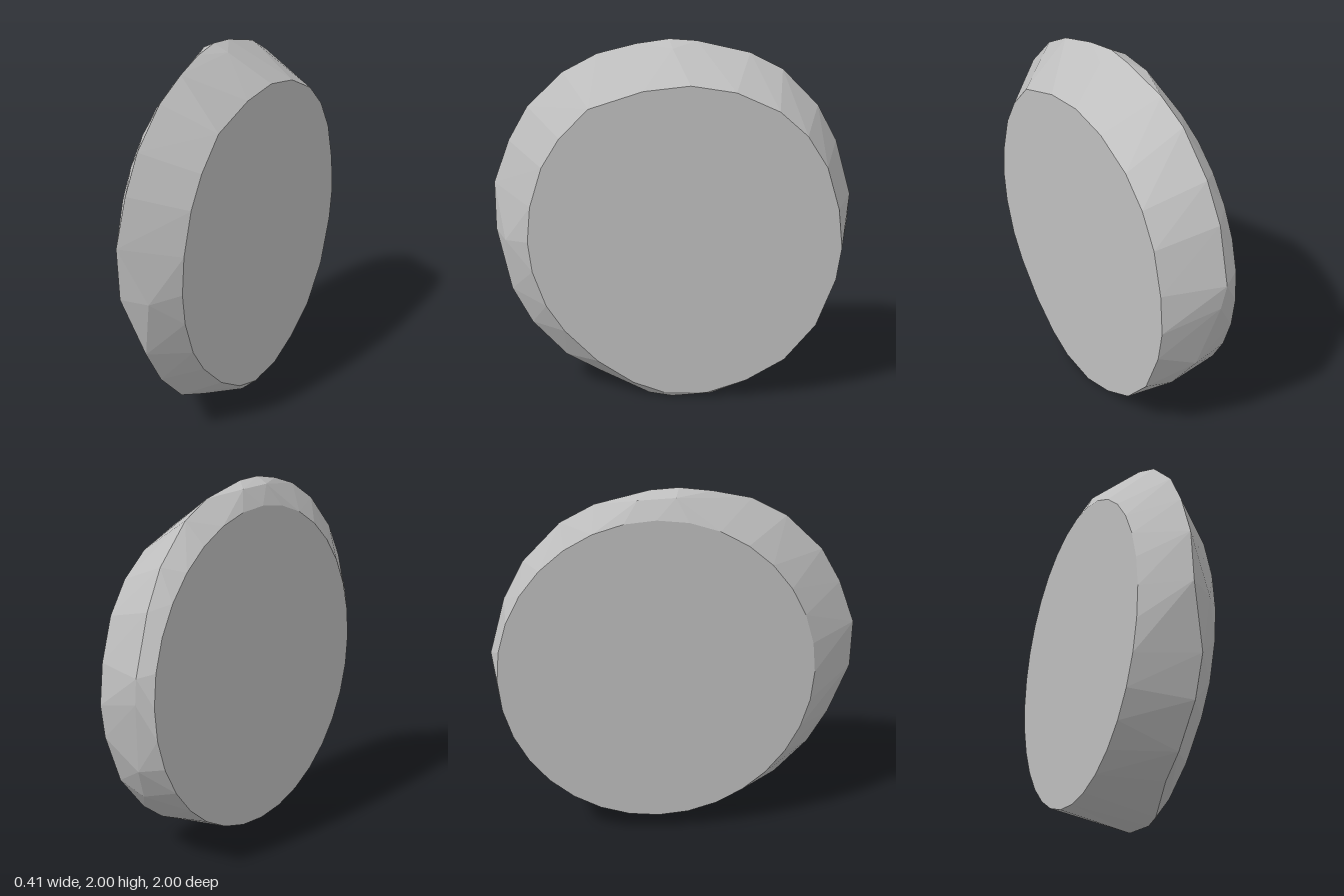
import * as THREE from 'three';
import { ConvexGeometry } from 'three/addons/geometries/ConvexGeometry.js';

// Flat face outline on the +x side, as [z, y]
const FACE = [
  [0.79, 0.92], [0.77, 0.75], [0.7, 0.55], [0.6, 0.4], [0.42, 0.22], [0.22, 0.09],
  [0.05, 0.03], [-0.2, 0.03], [-0.42, 0.11], [-0.63, 0.24], [-0.8, 0.45], [-0.9, 0.72],
  [-0.925, 0.9], [-0.9, 1.12], [-0.83, 1.35], [-0.72, 1.52], [-0.57, 1.65], [-0.34, 1.75],
  [-0.1, 1.785], [0.15, 1.755], [0.44, 1.66], [0.6, 1.5], [0.7, 1.34], [0.77, 1.12],
];

// Widest rim of the disc, wandering from side to side, as [x, y, z]
const RIM = [
  [-0.075, 1.995, 0.02], [-0.075, 1.985, -0.13], [-0.09, 1.92, -0.42], [-0.1, 1.83, -0.6],
  [-0.11, 1.63, -0.8], [-0.12, 1.43, -0.91], [-0.12, 1.12, -1], [-0.1, 0.98, -0.99],
  [-0.03, 0.59, -0.91], [0.04, 0.4, -0.8], [0.1, 0.2, -0.6], [0.14, 0.11, -0.42],
  [0.18, 0.015, -0.22], [0.19, 0, 0], [0.17, 0.01, 0.13], [0.09, 0.11, 0.42],
  [0.07, 0.2, 0.61], [0.07, 0.4, 0.8], [0.06, 0.6, 0.91], [-0.02, 0.93, 1],
  [-0.03, 1.2, 1], [-0.03, 1.44, 0.91], [-0.03, 1.63, 0.8], [-0.03, 1.82, 0.6],
  [-0.03, 1.92, 0.41], [-0.06, 1.97, 0.2],
];

// Extra points that round off the rim
const BULGES = [
  [-0.15, 1.96, 0], [-0.15, 1.95, -0.2], [0, 1.95, 0], [0.1, 0.9, 0.93], [0.1, 0.65, 0.87],
];

export function createModel() {
  const group = new THREE.Group();
  const grey = new THREE.MeshStandardMaterial({ color: 0xbfbfbf });
  grey.name = 'grey';

  const points = [...RIM, ...BULGES].map((p) => new THREE.Vector3(...p));
  for (const [z, y] of FACE) points.push(new THREE.Vector3(0.207, y, z));

  // Oval flat face on the -x side
  const sides = 32;
  for (let i = 0; i < sides; i++) {
    const a = (i / sides) * Math.PI * 2;
    points.push(new THREE.Vector3(-0.207, 0.98 + 0.88 * Math.sin(a), -0.105 + 0.865 * Math.cos(a)));
  }

  // Faceted disc wrapped around both faces and the rim
  const disc = new THREE.Mesh(new ConvexGeometry(points), grey);
  disc.name = 'disc';
  group.add(disc);
  return group;
}
